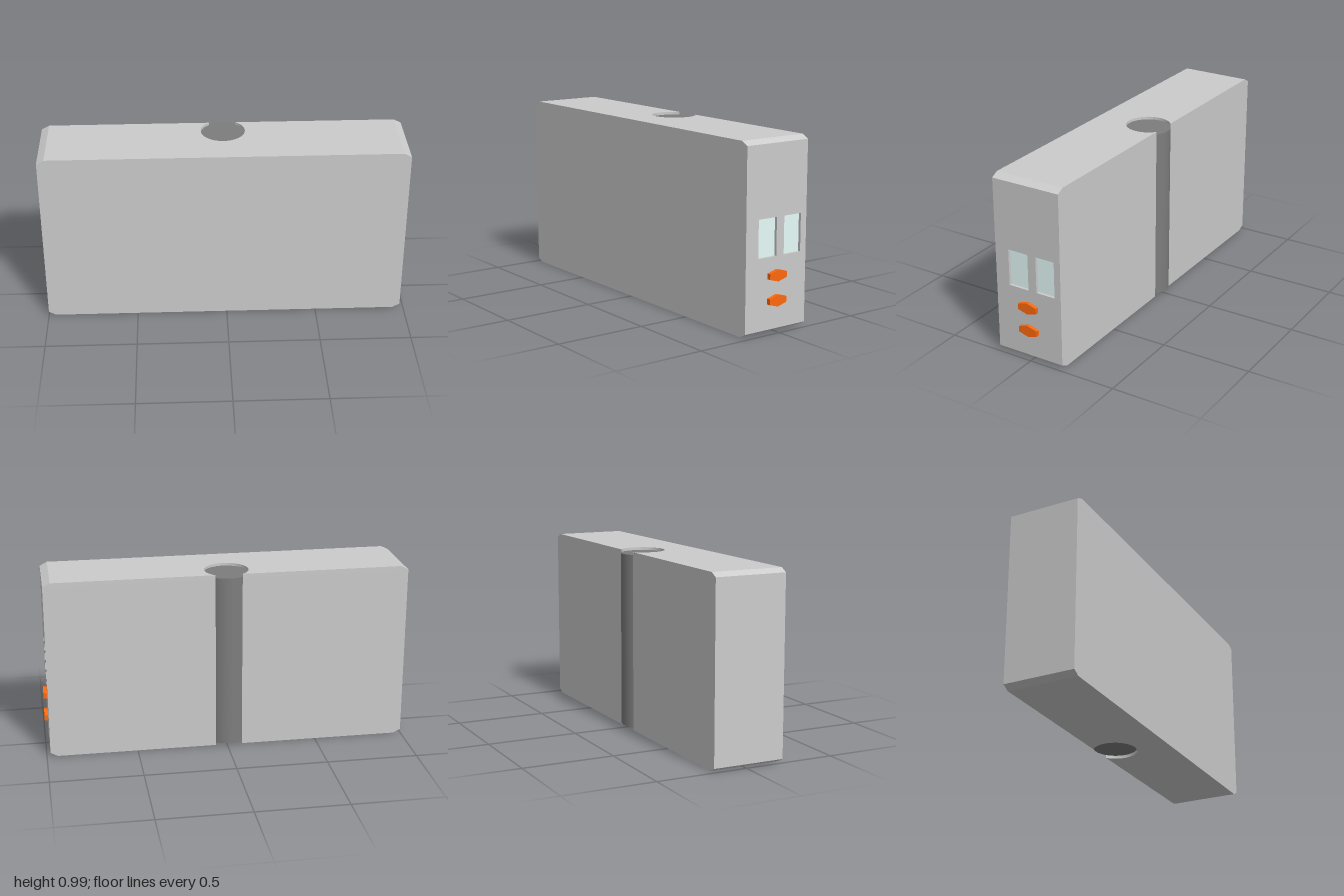
import * as THREE from 'three';

const H = 0.992, FRONT = 0.21, BACK = -0.185;
const BEVEL_X = 0.04, BEVEL_Y = 0.021;
const INNER = 0.94, END = 0.98; // start and outer face of the panel end
const CX = -0.01, CZ = -0.09, R = 0.12; // vertical rod

const mat = (color) => new THREE.MeshStandardMaterial({ color });

function mesh(name, geometry, material) {
  const m = new THREE.Mesh(geometry, material);
  m.name = name;
  return m;
}

// Closed loop from corner pairs
const loop = (Type, pts) => new Type(pts.map(([a, b]) => new THREE.Vector2(a, b)));
const rect = (a0, b0, a1, b1) => [[a0, b0], [a1, b0], [a1, b1], [a0, b1]];

// Extrude a (-z, y) shape along +x, starting at x
function extrudeX(shape, x, depth) {
  const g = new THREE.ExtrudeGeometry(shape, { depth, bevelEnabled: false });
  return g.rotateY(Math.PI / 2).translate(x, 0, 0);
}

// Block with a rod channel open to the back; far end bevelled top and bottom
function bodyGeometry() {
  const t = Math.asin((CZ - BACK) / R);
  const s = new THREE.Shape();
  s.moveTo(-1, -FRONT);
  s.lineTo(INNER, -FRONT);
  s.lineTo(INNER, -BACK);
  s.lineTo(CX + R * Math.cos(t), -BACK);
  s.absarc(CX, -CZ, R, t, Math.PI - t, true);
  s.lineTo(-1, -BACK);
  s.closePath();
  const g = new THREE.ExtrudeGeometry(s, { depth: 3, steps: 3, bevelEnabled: false, curveSegments: 40 });
  g.rotateX(-Math.PI / 2);
  const levels = [0, BEVEL_Y, H - BEVEL_Y, H];
  const p = g.attributes.position;
  for (let i = 0; i < p.count; i++) {
    const k = Math.round(p.getY(i));
    p.setY(i, levels[k]);
    if ((k === 0 || k === 3) && p.getX(i) < -0.999) p.setX(i, -1 + BEVEL_X);
  }
  g.computeVertexNormals();
  return g;
}

export function createModel() {
  const group = new THREE.Group();
  const grey = mat(0xcccccc), dark = mat(0x7d7d7d), glass = mat(0xe6fcf9), orange = mat(0xff690e);

  group.add(mesh('body', bodyGeometry(), grey));

  // Panel end: tapered plate with two window openings
  const windows = [[-0.13, -0.012], [0.037, 0.148]];
  const y0 = 0.397, y1 = 0.597;
  const plate = loop(THREE.Shape, rect(-FRONT, 0, -BACK, H));
  plate.holes = windows.map(([a, b]) => loop(THREE.Path, rect(a, y0, b, y1)));
  const endGeo = extrudeX(plate, INNER, END - INNER);
  const p = endGeo.attributes.position;
  for (let i = 0; i < p.count; i++) {
    if (p.getX(i) < END - 0.001) continue;
    if (p.getY(i) < 0.001) p.setY(i, BEVEL_Y);
    else if (p.getY(i) > H - 0.001) p.setY(i, H - BEVEL_Y);
  }
  endGeo.computeVertexNormals();
  group.add(mesh('panelEnd', endGeo, grey));

  // Recessed window panes
  windows.forEach(([a, b], i) => {
    const pane = extrudeX(loop(THREE.Shape, rect(a, y0, b, y1)), INNER, 0.025);
    group.add(mesh('window' + (i + 1), pane, glass));
  });

  // Hexagonal buttons
  const hex = [[0, -0.031], [0.055, -0.015], [0.055, 0.015], [0, 0.031], [-0.055, 0.015], [-0.055, -0.015]];
  [0.3, 0.17].forEach((y, i) => {
    const button = mesh('button' + (i + 1), extrudeX(loop(THREE.Shape, hex), END, 0.02), orange);
    button.position.set(0, y, 0.012);
    group.add(button);
  });

  // Rod set in the channel, a little short of both ends
  const rod = mesh('rod', new THREE.CylinderGeometry(R, R, 0.96, 48), dark);
  rod.position.set(CX, 0.497, CZ);
  group.add(rod);

  return group;
}
